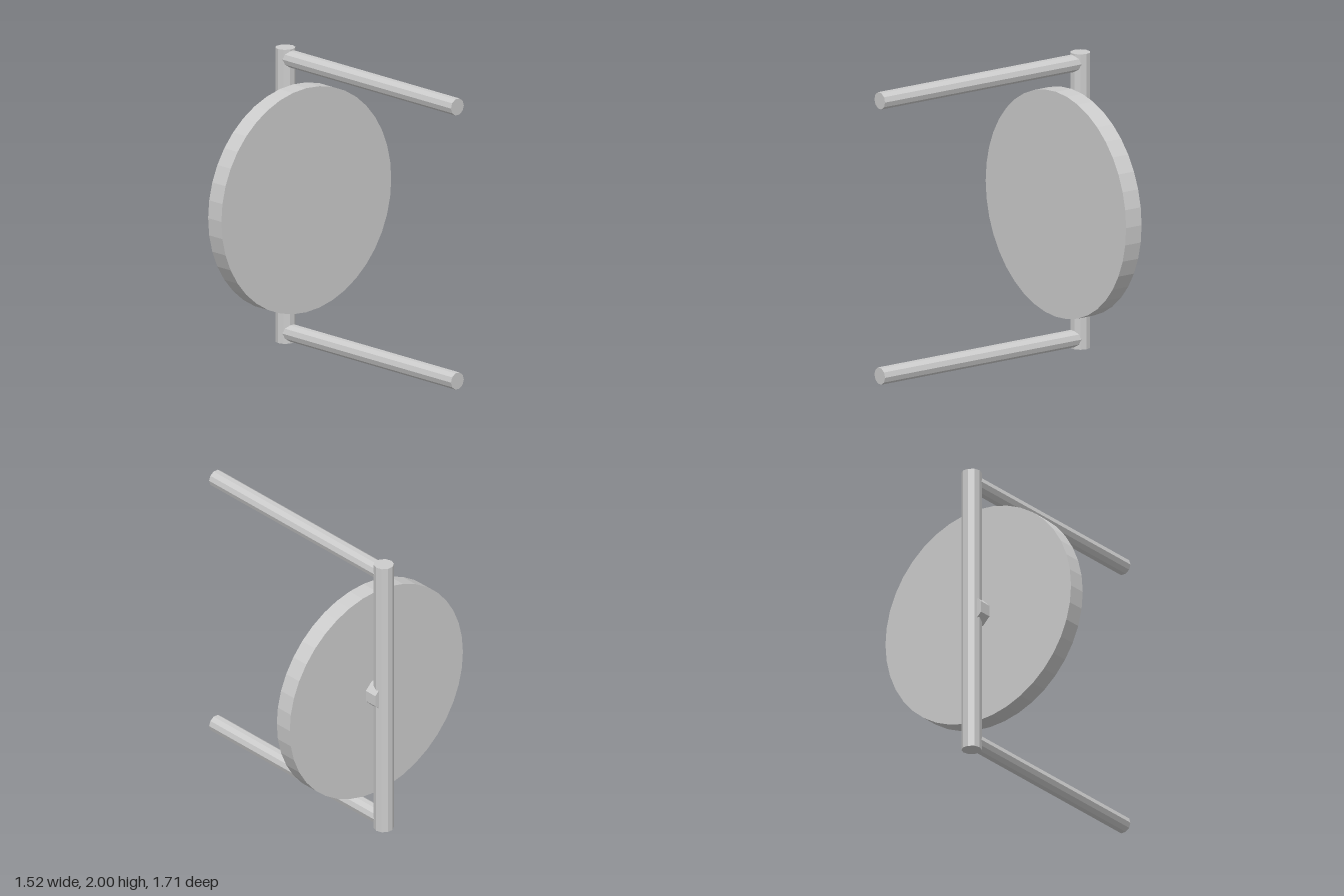
import * as THREE from 'three';

const material = new THREE.MeshStandardMaterial({ color: 0xcccccc, flatShading: true });
const POST_Z = -0.79;

// Faceted rod; start is the angle of its first corner
function rod(name, radius, length, sides, start) {
  const geometry = new THREE.CylinderGeometry(radius, radius, length, sides, 1, false, start);
  const mesh = new THREE.Mesh(geometry, material);
  mesh.name = name;
  return mesh;
}

// Rod lying along z between two depths
function rodAlongZ(name, radius, zBack, zFront, y, sides, start) {
  const mesh = rod(name, radius, zFront - zBack, sides, start);
  mesh.geometry.rotateX(Math.PI / 2);
  mesh.position.set(0, y, (zBack + zFront) / 2);
  return mesh;
}

export function createModel() {
  const model = new THREE.Group();
  model.name = 'discOnBracket';

  // Upright post at the back
  const post = rod('post', 0.067, 2, 10, Math.PI / 2);
  post.position.set(0, 1, POST_Z);
  model.add(post);

  // Arms reaching forward from the post ends
  for (const [name, y] of [['upperArm', 1.933], ['lowerArm', 0.069]]) {
    model.add(rodAlongZ(name, 0.058, POST_Z, 0.855, y, 10, Math.PI / 2));
  }

  // Round plate and the hub joining it to the post
  model.add(rodAlongZ('disc', 0.762, -0.717, -0.59, 1, 40, 0));
  model.add(rodAlongZ('hub', 0.1, -0.81, -0.71, 1.003, 8, Math.PI / 8));

  return model;
}
